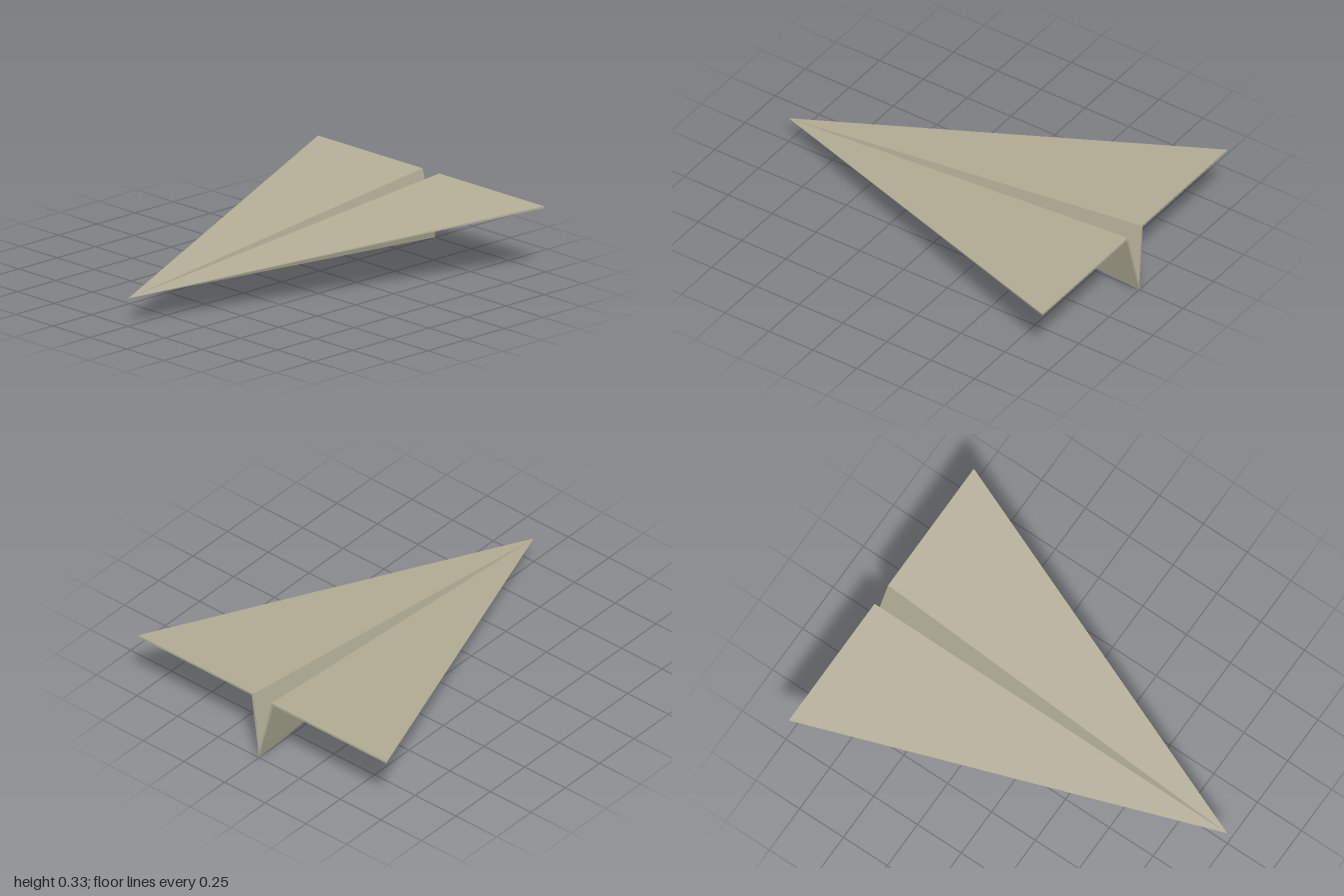
import * as THREE from 'three';

const NOSE = [0, 0.137, 1];

// Rear cross-section of one half, as [x, y]; the tail edge leans forward with height
const rear = (x, y) => [x, y, -1 + 0.078 * y];
const foldTop = rear(0.056, 0.333);
const foldUnder = rear(0.066, 0.323);
const tipTop = rear(0.764, 0.333);
const tipUnder = rear(0.764, 0.323);
const keelInside = rear(0, 0.05);
const keelOutside = rear(0, 0);

// Thin sheet tapering from four rear corners (clockwise seen from the nose) to the
// nose point; edges listed in joined meet another sheet and get no face
function foldedSheet(corners, joined, side) {
  const tris = [];
  corners.forEach((a, i) => {
    if (!joined.includes(i)) tris.push([NOSE, corners[(i + 1) % 4], a]);
  });
  const [a, b, c, d] = corners;
  tris.push([a, b, c], [a, c, d]);

  const positions = [];
  for (const [p, q, r] of tris) {
    const ordered = side > 0 ? [p, q, r] : [p, r, q];
    for (const [x, y, z] of ordered) positions.push(x * side, y, z);
  }
  const geometry = new THREE.BufferGeometry();
  geometry.setAttribute('position', new THREE.Float32BufferAttribute(positions, 3));
  geometry.computeVertexNormals();
  return geometry;
}

export function createModel() {
  const paper = new THREE.MeshStandardMaterial({ color: 0xb5b199 });
  paper.name = 'paper';
  const plane = new THREE.Group();
  plane.name = 'paperPlane';

  for (const side of [1, -1]) {
    const label = side > 0 ? 'left' : 'right';

    // Flat wing panel, joined to the body along the fold
    const wing = new THREE.Mesh(
      foldedSheet([foldTop, tipTop, tipUnder, foldUnder], [3], side), paper);
    wing.name = label + 'Wing';

    // Steep body panel running from the wing fold down to the keel
    const body = new THREE.Mesh(
      foldedSheet([foldTop, foldUnder, keelOutside, keelInside], [0, 2], side), paper);
    body.name = label + 'BodyPanel';

    plane.add(wing, body);
  }
  return plane;
}
